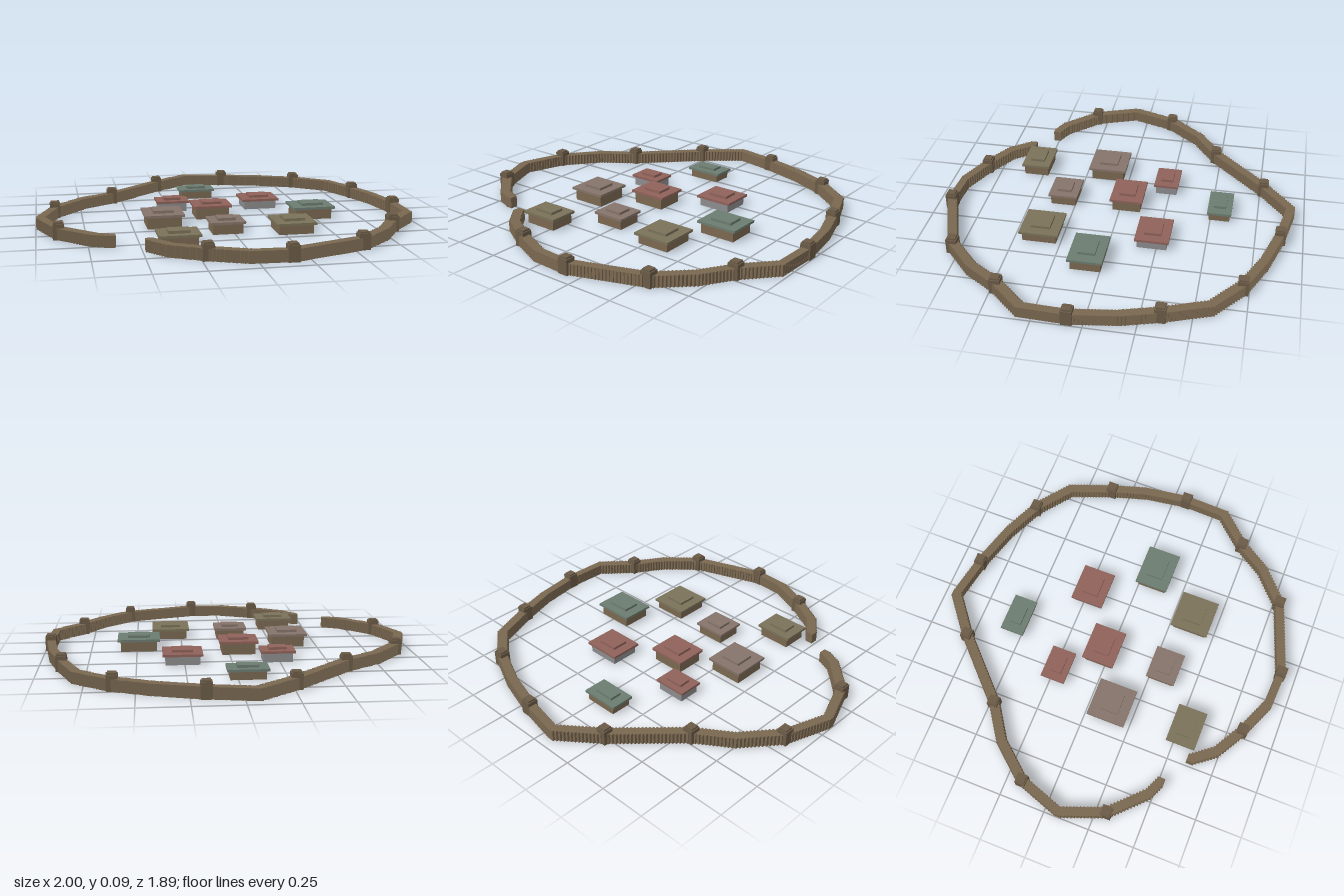
import * as THREE from 'three';
import { mergeGeometries } from 'three/addons/utils/BufferGeometryUtils.js';

const material = (color) => new THREE.MeshStandardMaterial({ color, flatShading: true });

// Box resting on height y
function block(w, h, d, x, y, z) {
  return new THREE.BoxGeometry(w, h, d).translate(x, y + h / 2, z);
}

function part(name, geometry, mat) {
  const mesh = new THREE.Mesh(geometry, mat);
  mesh.name = name;
  return mesh;
}

// Palisade line from one side of the gate to the other: x, z, tower flag
const PATH = [
  [-0.64, 0.51], [-0.72, 0.475], [-0.888, 0.308, 1], [-0.977, 0.075], [-0.895, -0.165, 1],
  [-0.74, -0.35], [-0.56, -0.472, 1], [-0.26, -0.767, 1], [-0.06, -0.925], [0.175, -0.88, 1],
  [0.41, -0.81], [0.61, -0.72, 1], [0.79, -0.58], [0.877, -0.352, 1], [0.935, -0.16],
  [0.97, 0.077, 1], [0.962, 0.31], [0.814, 0.47, 1], [0.71, 0.63], [0.547, 0.78, 1],
  [0.16, 0.915, 1], [-0.03, 0.905], [-0.22, 0.823, 1], [-0.38, 0.73], [-0.465, 0.62],
];

const ROOF = { red: 0x8f625a, teal: 0x6c7c70, olive: 0x7a7259, mauve: 0x86746a };
const TIMBER = 0x7a6850, STONE = 0x8c8c8e;

// Houses: x, z, roof width, roof depth, body height, roof colour, body colour
const HOUSES = [
  [-0.05, -0.547, 0.21, 0.13, 0.042, ROOF.teal, TIMBER],
  [-0.24, -0.23, 0.182, 0.134, 0.048, ROOF.red, STONE],
  [0.26, -0.226, 0.21, 0.18, 0.046, ROOF.red, STONE],
  [-0.05, -0.037, 0.21, 0.178, 0.061, ROOF.red, TIMBER],
  [-0.338, 0.122, 0.21, 0.21, 0.062, ROOF.mauve, TIMBER],
  [0.489, 0.076, 0.23, 0.182, 0.056, ROOF.teal, TIMBER],
  [-0.035, 0.316, 0.182, 0.16, 0.052, ROOF.mauve, TIMBER],
  [0.308, 0.363, 0.21, 0.21, 0.048, ROOF.olive, TIMBER],
  [-0.316, 0.54, 0.21, 0.16, 0.055, ROOF.olive, TIMBER],
];

function createHouse([x, z, w, d, h, roofColor, bodyColor]) {
  const house = new THREE.Group();
  house.name = 'house';
  const roofMat = material(roofColor);
  house.add(
    part('houseWalls', block(w * 0.86, h, d * 0.86, 0, 0, 0), material(bodyColor)),
    part('roof', block(w, 0.013, d, 0, h, 0), roofMat),
    part('roofCap', block(w * 0.52, 0.014, d * 0.5, 0, h + 0.013, 0), roofMat),
  );
  house.position.set(x, 0, z);
  return house;
}

export function createModel() {
  const model = new THREE.Group();
  model.name = 'walledVillage';

  // Wall of closely spaced upright posts
  const posts = [];
  for (let i = 0; i < PATH.length - 1; i++) {
    const [x0, z0] = PATH[i], [x1, z1] = PATH[i + 1];
    const n = Math.max(1, Math.round(Math.hypot(x1 - x0, z1 - z0) / 0.018));
    for (let k = 0; k < n; k++) {
      const t = k / n;
      posts.push(block(0.042, 0.06, 0.042, x0 + (x1 - x0) * t, 0, z0 + (z1 - z0) * t));
    }
  }
  const [endX, endZ] = PATH[PATH.length - 1];
  posts.push(block(0.042, 0.06, 0.042, endX, 0, endZ));
  model.add(part('palisade', mergeGeometries(posts), material(TIMBER)));

  // Watchtowers with a smaller cap
  const towerMat = material(0x6b5b47);
  for (const [x, z, hasTower] of PATH) {
    if (!hasTower) continue;
    const tower = new THREE.Group();
    tower.name = 'watchtower';
    tower.add(
      part('towerBody', block(0.056, 0.081, 0.056, 0, 0, 0), towerMat),
      part('towerCap', block(0.044, 0.009, 0.044, 0, 0.081, 0), towerMat),
    );
    tower.position.set(x, 0, z);
    model.add(tower);
  }

  // Houses inside the wall
  for (const spec of HOUSES) model.add(createHouse(spec));
  return model;
}
